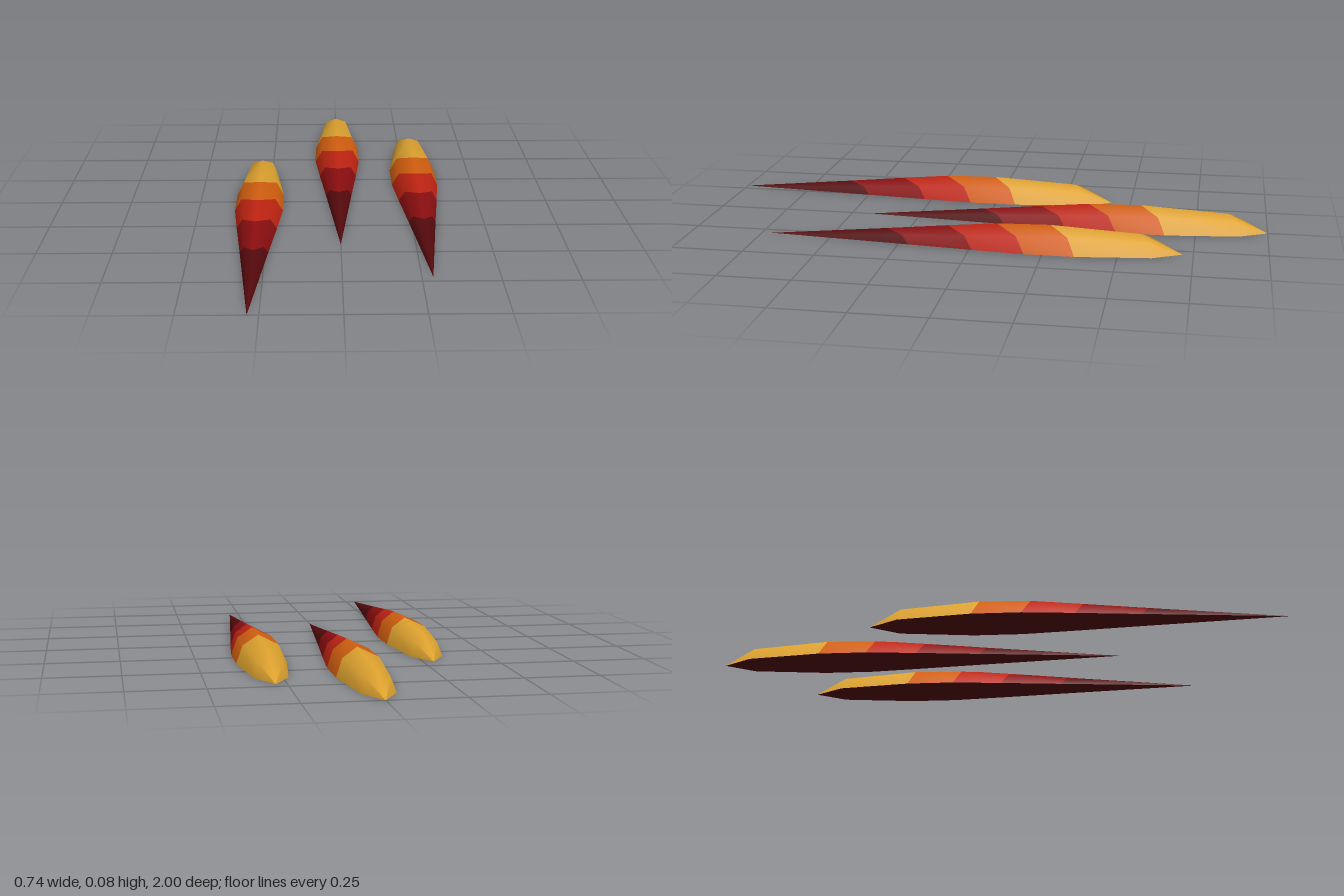
import * as THREE from 'three';

const paint = (name, color) => {
  const m = new THREE.MeshStandardMaterial({ color });
  m.name = name;
  return m;
};

// cross-sections from blunt back tip to long front point:
// [z at lower edge, z at ridge, half width, height]
const RINGS = [
  [-1.0, -1.0, 0, 0],
  [-0.9, -0.86, 0.055, 0.065],
  [-0.645, -0.555, 0.085, 0.081],
  [-0.475, -0.37, 0.085, 0.077],
  [-0.295, -0.2, 0.069, 0.061],
  [-0.07, 0.01, 0.047, 0.04],
  [0.43, 0.43, 0, 0],
];
const SIDES = 4;

// half-round shell point, with each ring swept forward at the ridge
function ringPoint([zEdge, zRidge, w, h], i) {
  const a = Math.PI * (1 - i / SIDES);
  const c = Math.cos(a);
  return [w * c, h * Math.sin(a), zEdge + (zRidge - zEdge) * (1 - Math.abs(c))];
}

// domed upper skin; one material group per band
function shellGeometry(bands) {
  const pos = [], index = [], g = new THREE.BufferGeometry();
  RINGS.forEach((r) => {
    for (let i = 0; i <= SIDES; i++) pos.push(...ringPoint(r, i));
  });
  const n = SIDES + 1;
  for (let r = 0; r < RINGS.length - 1; r++) {
    const start = index.length;
    for (let i = 0; i < SIDES; i++) {
      const a = r * n + i, b = a + 1, c = a + n, d = c + 1;
      if (r < RINGS.length - 2) index.push(b, c, d);
      else index.push(a, c, b);
      if (r > 0 && r < RINGS.length - 2) index.push(a, c, b);
    }
    g.addGroup(start, index.length - start, bands[r]);
  }
  g.setAttribute('position', new THREE.Float32BufferAttribute(pos, 3));
  g.setIndex(index);
  g.computeVertexNormals();
  return g;
}

// flat underside closing the shell
function baseGeometry() {
  const outline = [
    ...RINGS.map(([z, , w]) => new THREE.Vector2(w, z)),
    ...RINGS.slice(1, -1).reverse().map(([z, , w]) => new THREE.Vector2(-w, z)),
  ];
  return new THREE.ShapeGeometry(new THREE.Shape(outline)).rotateX(Math.PI / 2);
}

export function createModel() {
  const model = new THREE.Group();
  model.name = 'flameSpikes';
  const colours = [
    paint('golden yellow', 0xdfa32f),
    paint('orange', 0xd35f10),
    paint('red', 0xc02412),
    paint('dark red', 0x8b0e10),
    paint('maroon', 0x560a0d),
  ];
  const shell = shellGeometry([0, 0, 1, 2, 3, 4]);
  const base = baseGeometry();

  // three staggered spikes
  const spots = [
    ['middleSpike', 0, 0],
    ['leftSpike', 0.286, 0.286],
    ['rightSpike', -0.286, 0.57],
  ];
  for (const [name, x, z] of spots) {
    const spike = new THREE.Group();
    spike.name = name;
    const top = new THREE.Mesh(shell, colours);
    top.name = 'bandedShell';
    const under = new THREE.Mesh(base, colours[4]);
    under.name = 'underside';
    spike.add(top, under);
    spike.position.set(x, 0, z);
    model.add(spike);
  }
  return model;
}
